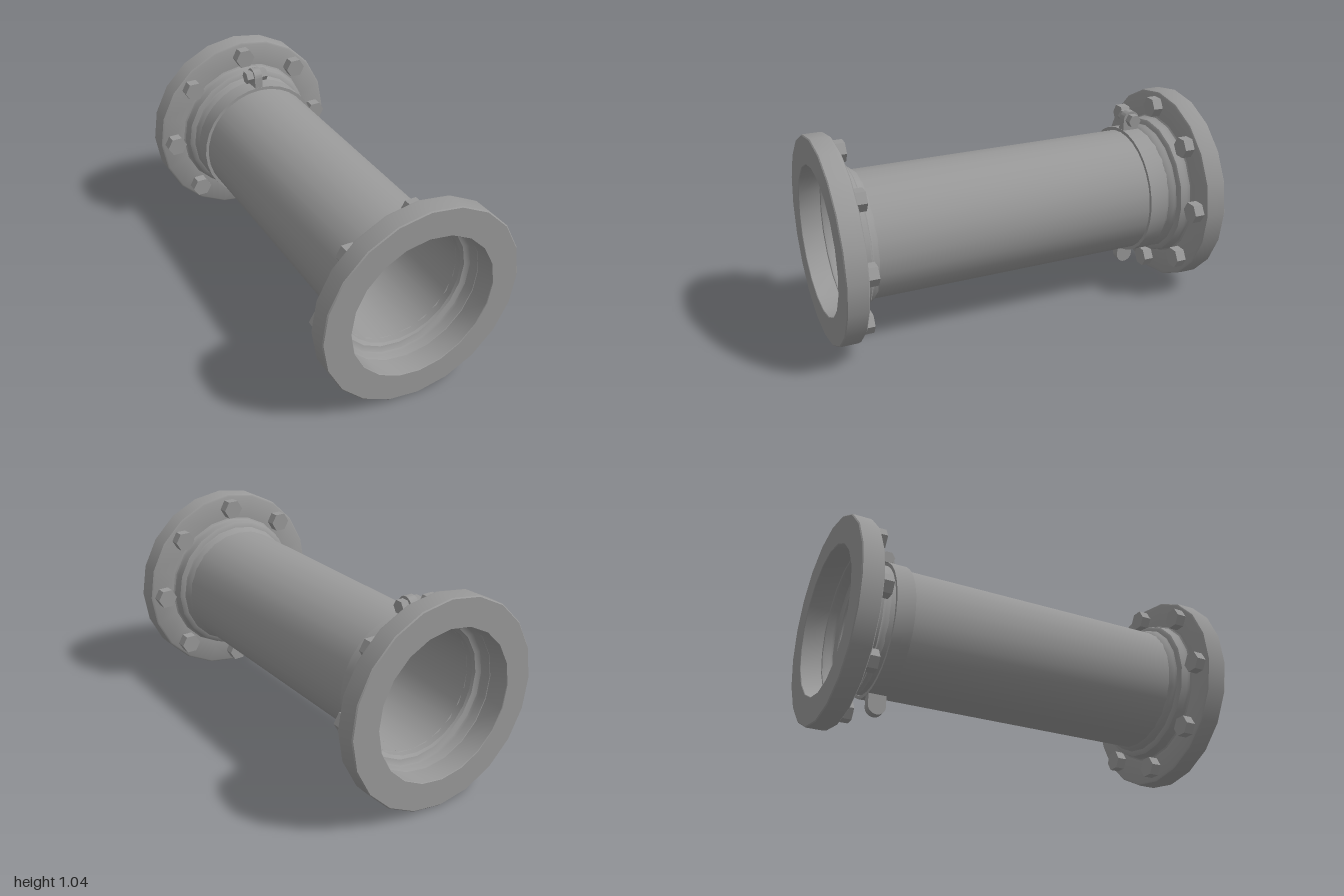
import * as THREE from 'three';
import { toCreasedNormals } from 'three/addons/utils/BufferGeometryUtils.js';

const AXIS_Y = 0.52;

export function createModel() {
  const model = new THREE.Group();
  model.name = 'flangedPipe';
  const steel = new THREE.MeshStandardMaterial({ color: 0x999999, side: THREE.DoubleSide });
  steel.name = 'grey steel';

  const add = (parent, name, geometry, x = 0, y = 0, z = 0) => {
    const mesh = new THREE.Mesh(geometry, steel);
    mesh.name = name;
    mesh.position.set(x, y, z);
    parent.add(mesh);
    return mesh;
  };
  // Ring turned about the z axis from [radius, z] pairs
  const turned = (points, sides) => {
    const g = new THREE.LatheGeometry(points.map(([r, z]) => new THREE.Vector2(r, z)), sides);
    g.rotateX(Math.PI / 2);
    return toCreasedNormals(g, 0.6);
  };

  const body = new THREE.Group();
  body.name = 'pipeAssembly';
  body.position.y = AXIS_Y;
  model.add(body);

  // Thin open tube
  add(body, 'pipe', turned([[0.323, -0.82], [0.323, 0.82]], 24));

  // Both ends: flange disc, flared collar and ring of bolts
  const flangeGeo = turned([
    [0.375, 0.89], [0.508, 0.89], [0.517, 0.896], [0.52, 0.908],
    [0.52, 0.995], [0.515, 1], [0.378, 1], [0.375, 0.997], [0.375, 0.89],
  ], 20);
  const collarGeo = turned([
    [0.323, 0.785], [0.333, 0.797], [0.338, 0.812], [0.343, 0.822],
    [0.358, 0.827], [0.368, 0.835], [0.371, 0.848], [0.371, 0.87], [0.376, 0.885], [0.385, 0.891],
  ], 20);
  const boltGeo = new THREE.CylinderGeometry(0.055, 0.055, 0.055, 6).toNonIndexed();
  boltGeo.rotateY(Math.PI / 6).rotateX(Math.PI / 2).rotateZ(0);
  // Hexagon corners point sideways along x
  boltGeo.rotateZ(Math.PI / 3);
  boltGeo.computeBoundingBox();
  if (boltGeo.boundingBox.max.x < 0.05) boltGeo.rotateZ(Math.PI / 6);
  boltGeo.computeVertexNormals();

  for (const side of [1, -1]) {
    const end = new THREE.Group();
    end.name = side > 0 ? 'frontEnd' : 'backEnd';
    if (side < 0) end.rotation.y = Math.PI;
    body.add(end);
    add(end, 'flange', flangeGeo);
    add(end, 'collar', collarGeo);
    for (let i = 0; i < 8; i++) {
      const a = (i * Math.PI) / 4;
      add(end, 'flangeBolt', boltGeo, 0.443 * Math.cos(a), 0.443 * Math.sin(a), 0.865);
    }
  }

  // Clamp band round the back of the pipe
  const clamp = new THREE.Group();
  clamp.name = 'clamp';
  clamp.position.z = -0.717;
  body.add(clamp);
  add(clamp, 'clampBand', turned([
    [0.324, -0.047], [0.341, -0.047], [0.341, 0.047], [0.324, 0.047],
  ], 32));

  // Round-ended lugs at top and bottom
  const lug = new THREE.Shape();
  lug.moveTo(-0.045, 0.325);
  lug.lineTo(0.045, 0.325);
  lug.lineTo(0.045, 0.395);
  lug.absarc(0, 0.395, 0.045, 0, Math.PI, false);
  lug.lineTo(-0.045, 0.325);
  const lugGeo = toCreasedNormals(
    new THREE.ExtrudeGeometry(lug, { depth: 0.044, bevelEnabled: false, curveSegments: 10 })
      .translate(0, 0, -0.022).rotateY(Math.PI / 2), 0.6);
  add(clamp, 'topLug', lugGeo);
  add(clamp, 'bottomLug', lugGeo).rotation.x = Math.PI;

  // Clamp screw through the top lug
  const screwGeo = new THREE.CylinderGeometry(0.035, 0.035, 0.12, 6).toNonIndexed();
  screwGeo.rotateZ(Math.PI / 2);
  screwGeo.computeVertexNormals();
  add(clamp, 'clampScrew', screwGeo, 0, 0.395, 0);

  return model;
}
